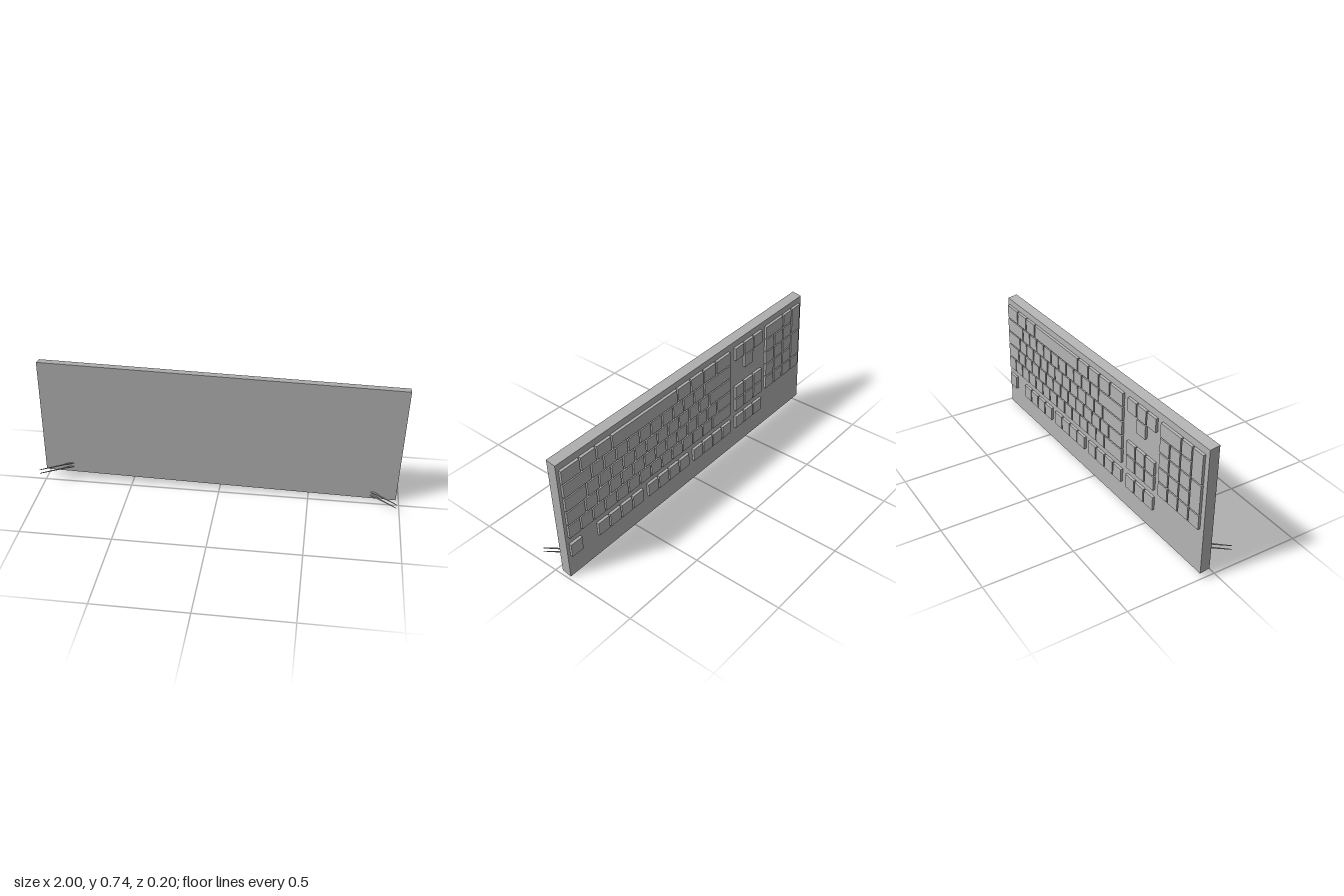
import * as THREE from 'three';

const W = 1.985, H = 0.696, D = 0.056;      // case size
const PITCH = 0.0855, ROW = 0.0835;         // key spacing
const GAP = 0.0095, KEY_H = 0.014, MARGIN_X = 0.018, MARGIN_Y = 0.036;

// slightly tilted and skewed frame the whole board stands in
const tilt = new THREE.Matrix4().makeBasis(
  new THREE.Vector3(1, -0.0196, -0.0015),
  new THREE.Vector3(0.02, 1, 0.028),
  new THREE.Vector3(0, 0.161, 0.986)
).setPosition(-0.0015, 0.373, -0.052);

export function createModel() {
  const model = new THREE.Group();
  model.name = 'keyboard';
  const grey = new THREE.MeshStandardMaterial({ color: 0xb2b2b2 });
  grey.name = 'plastic grey';

  function add(parent, geometry, name) {
    const mesh = new THREE.Mesh(geometry, grey);
    mesh.name = name;
    parent.add(mesh);
  }
  function group(name) {
    const g = new THREE.Group();
    g.name = name;
    model.add(g);
    return g;
  }

  // case
  add(model, new THREE.BoxGeometry(W, H, D).applyMatrix4(tilt), 'case');

  // one key: start column and width in key units (plus an offset), row from the top
  function key(parent, offset, col, row, units = 1, rows = 1) {
    const w = units * PITCH - GAP;
    const h = rows * ROW - (ROW - 0.076);
    const x = W / 2 - MARGIN_X - offset - col * PITCH - w / 2;
    const y = H / 2 - MARGIN_Y - row * ROW - h / 2;
    const g = new THREE.BoxGeometry(w, h, KEY_H);
    g.translate(x, y, -D / 2 - KEY_H / 2);
    add(parent, g.applyMatrix4(tilt), 'key');
  }

  // main block, row by row from the space bar
  const ones = (n) => Array(n).fill(1);
  const mainRows = [
    [1.5, 1.25, 1.25, 5.75, 1.25, 1.25, 1.25, 1.5],
    [2.25, ...ones(10), 2.75],
    [1.75, ...ones(11), 2.25],
    [1.5, ...ones(12), 1.5],
    [...ones(13), 2],
  ];
  const main = group('mainKeys');
  mainRows.forEach((widths, row) => {
    let col = 0;
    for (const w of widths) {
      key(main, 0, col, row, w);
      col += w;
    }
  });

  // function row, set apart from the rest
  const F_ROW = (0.49 - MARGIN_Y) / ROW;
  const functionKeys = group('functionKeys');
  key(functionKeys, 0, 0, F_ROW);
  for (const start of [2.24, 6.62, 11])
    for (let i = 0; i < 4; i++) key(functionKeys, 0, start + i, F_ROW);

  // arrows and navigation keys
  const NAV = 1.32;
  const navigation = group('navigationKeys');
  for (const row of [0, 3, 4, F_ROW])
    for (let i = 0; i < 3; i++) key(navigation, NAV, i, row);
  key(navigation, NAV, 1, 1);

  // number pad, with a wide key and two tall ones
  const PAD = 1.607;
  const pad = group('numberPad');
  key(pad, PAD, 0, 0, 2);
  key(pad, PAD, 2, 0);
  for (let row = 1; row < 5; row++)
    for (let i = 0; i < 3; i++) key(pad, PAD, i, row);
  key(pad, PAD, 3, 0, 1, 2);
  key(pad, PAD, 3, 2, 1, 2);
  key(pad, PAD, 3, 4);

  // thin splayed feet, tapering to a tip
  function foot(parent, side, rootX, tipX, rootY, slope) {
    const rootZ = -0.036, tipZ = 0.1, t = 0.005;
    const shape = new THREE.Shape([
      new THREE.Vector2(side * tipX, tipZ),
      new THREE.Vector2(side * rootX, rootZ),
      new THREE.Vector2(side * (rootX + 0.018), rootZ),
    ]);
    const g = new THREE.ExtrudeGeometry(shape, { depth: t, bevelEnabled: false });
    g.rotateX(Math.PI / 2).translate(0, t / 2, 0);
    const p = g.attributes.position;
    for (let i = 0; i < p.count; i++)
      p.setY(i, p.getY(i) + rootY + slope * (p.getZ(i) - rootZ));
    g.computeVertexNormals();
    add(parent, g, 'foot');
  }
  const feet = group('feet');
  for (const y of [0.101, 0.078]) foot(feet, -1, 0.833, 0.998, y, 0.195);
  for (const y of [0.053, 0.031]) foot(feet, 1, 0.842, 0.981, y, 0.16);

  return model;
}
